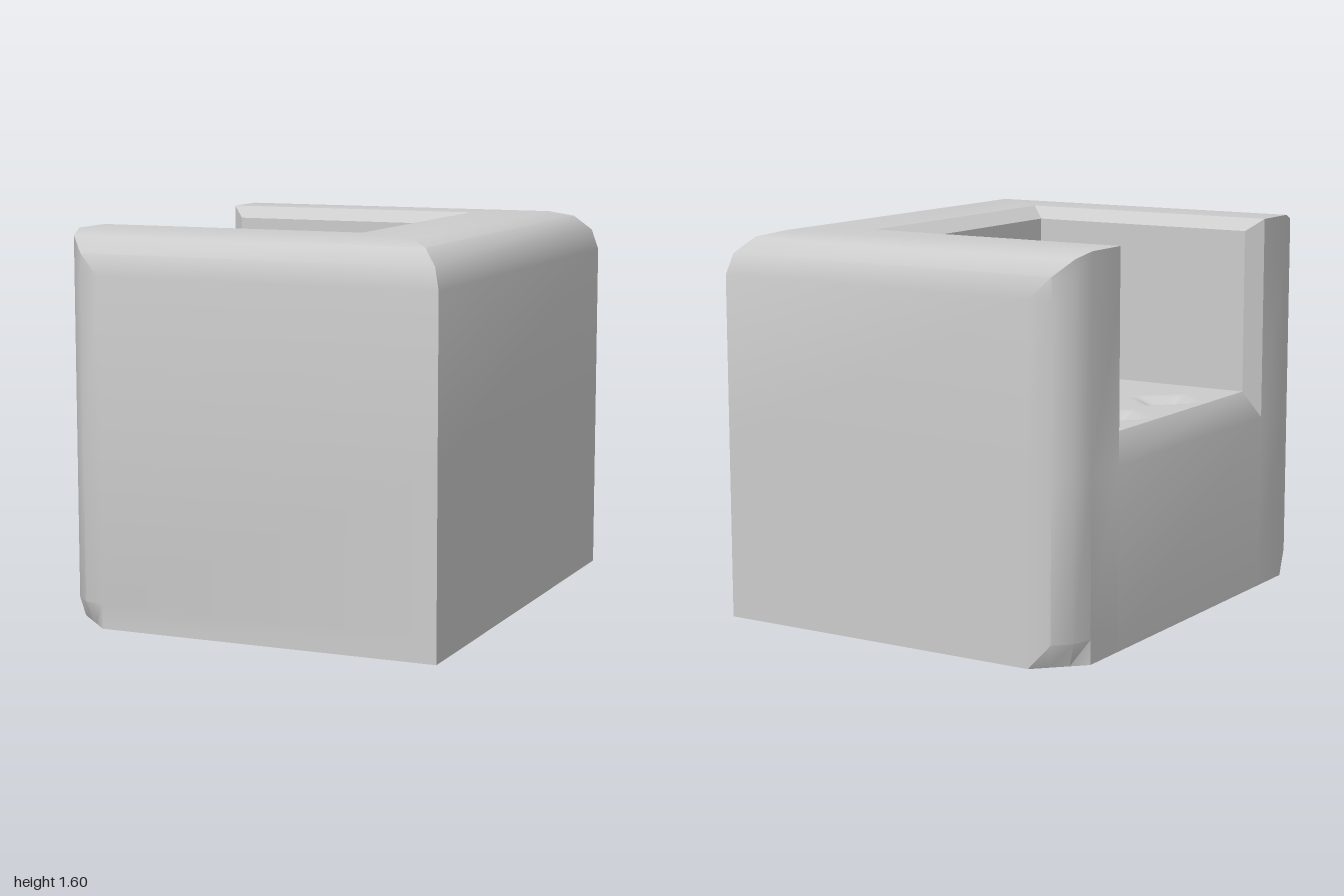
import * as THREE from 'three';
import { toCreasedNormals } from 'three/addons/utils/BufferGeometryUtils.js';

const HX = 0.807, TOP = 1.6, R = 0.175;
const FLOOR = 0.86, SILL = 0.745;
// insets of a quarter round in three steps
const d = [0, 1, 2, 3].map(i => R * (1 - Math.cos(i * Math.PI / 6)));

// joins neighbouring rows of points with quads
function loft(out, rows) {
  const tri = (a, b, c) => {
    const [p, q, r] = [a, b, c].map(v => new THREE.Vector3(...v));
    if (q.sub(p).cross(r.sub(p)).length() > 1e-8) out.push(...a, ...b, ...c);
  };
  for (let j = 0; j < rows.length - 1; j++) {
    const a = rows[j], b = rows[j + 1];
    for (let i = 0; i < a.length - 1; i++) {
      tri(a[i], a[i + 1], b[i + 1]);
      tri(a[i], b[i + 1], b[i]);
    }
  }
}

// U-shaped outline: one arm's front, round the back, to the other arm's front
function outline(y, step, chamfer) {
  const half = [[-HX, 0.615]];
  for (let k = 3; k >= 0; k--) {
    const m = Math.max(k, step), t = (3 - k) / 3;
    half.push(chamfer ? [-HX + R * t, 1 - R * (1 - t)] : [-HX + d[3 - m], 1 - d[m]]);
  }
  half.push([HX - d[step], 1 - d[step]]);
  const left = half.map(([x, z]) => [x, y, z]);
  return [...left, ...left.map(([x, , z]) => [x, y, -z]).reverse()];
}

// matching rows of points around the inside of the arms and back
function inner(y, front, back, z) {
  const half = Array.from({ length: 6 }, (_, i) => [i < 5 ? front : back, y, z]);
  return [...half, ...half.map(([x]) => [x, y, -z]).reverse()];
}

function bodyGeometry() {
  const out = [];
  const base = outline(0, 0, true);
  const rows = [base, outline(0.1, 0), outline(SILL, 0)];
  for (let j = 0; j < 4; j++) rows.push(outline(TOP - d[3 - j], j));
  // flat top, bevelled rim and inner walls
  rows.push(inner(TOP, -HX, 0.34, 0.615), inner(1.55, -0.745, 0.27, 0.555), inner(FLOOR, -0.745, 0.27, 0.555));
  loft(out, rows);
  // bevel around the seat opening
  const frame = (x, z, low, high) => [[x, high, z], [x, low, z], [x, low, -z], [x, high, -z]];
  loft(out, [frame(-0.745, 0.555, FLOOR, 1.55), frame(-HX, 0.615, SILL, TOP)]);
  // panel below the seat
  loft(out, [0, SILL].map(y => [[-HX, y, -0.615], [-HX, y, 0.615]]));
  // underside
  const ring = [...base, base[0]];
  loft(out, [ring.map(() => [0, 0, 0]), ring]);

  const geo = new THREE.BufferGeometry();
  geo.setAttribute('position', new THREE.Float32BufferAttribute(out, 3));
  return toCreasedNormals(geo, 0.6);
}

// seat surface with four tufted dimples
function seatGeometry() {
  const geo = new THREE.PlaneGeometry(1.015, 1.11, 50, 54);
  geo.rotateX(-Math.PI / 2).translate(-0.2375, FLOOR, 0);
  const p = geo.attributes.position;
  for (let i = 0; i < p.count; i++) {
    let drop = 0;
    for (const cx of [-0.56, 0]) for (const cz of [-0.23, 0.2]) {
      const s = (Math.abs(p.getX(i) - cx) + Math.abs(p.getZ(i) - cz)) / 0.16;
      drop += 0.08 * Math.max(0, 1 - s) ** 1.4;
    }
    p.setY(i, FLOOR - drop);
  }
  geo.computeVertexNormals();
  return geo;
}

export function createModel() {
  const group = new THREE.Group();
  group.name = 'armchair';
  const material = new THREE.MeshStandardMaterial({ color: 0xcccccc });
  const add = (name, geo) => {
    const mesh = new THREE.Mesh(geo, material);
    mesh.name = name;
    group.add(mesh);
  };
  add('chairBody', bodyGeometry());
  add('tuftedSeat', seatGeometry());
  return group;
}
